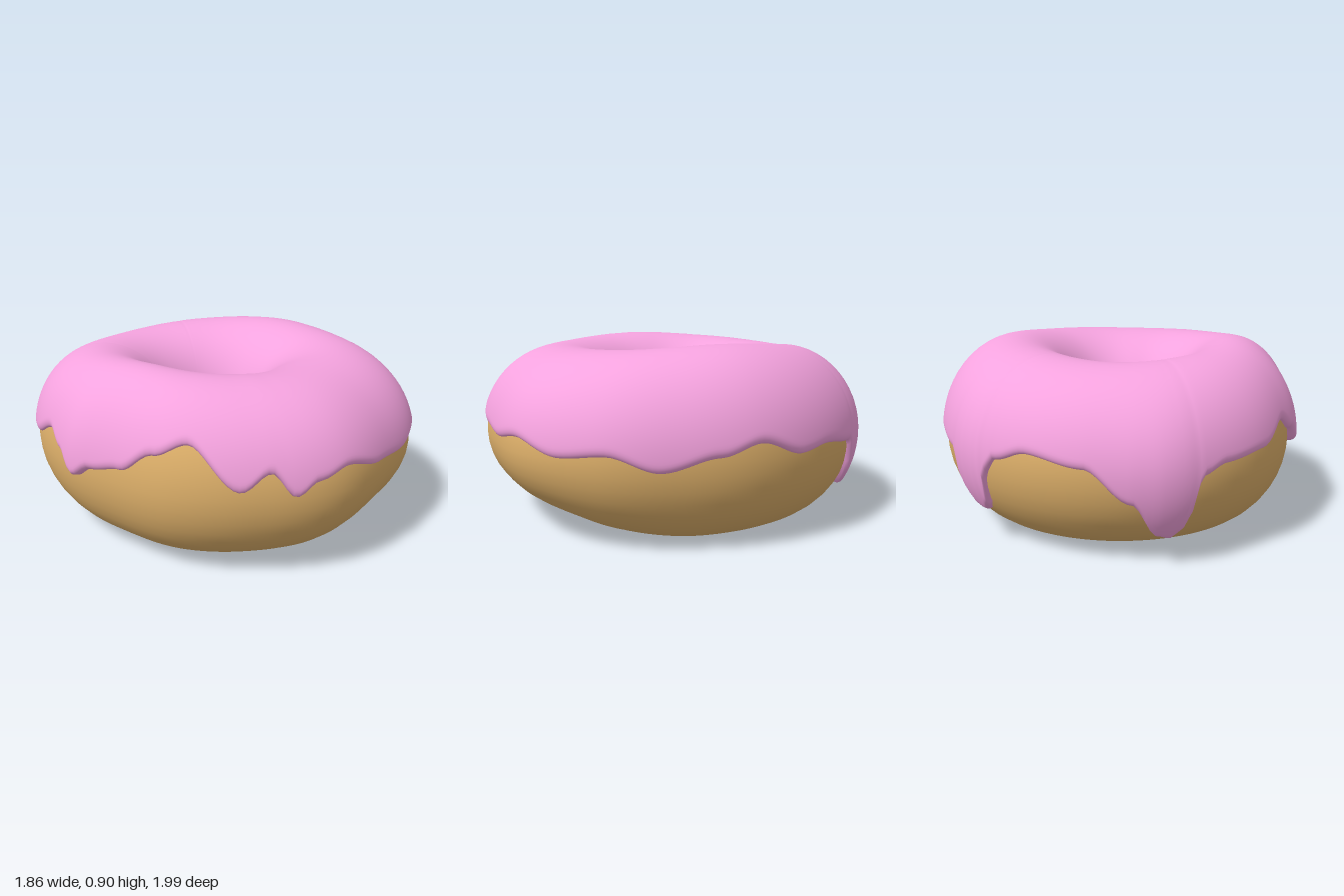
import * as THREE from 'three';

const TAU = Math.PI * 2, DEG = Math.PI / 180;
const MID = 0.43;          // height of the widest ring
const ICING = 0.022;       // icing thickness
const COLS = 240;

// Evenly spaced values round the ring, smoothly interpolated
function ringCurve(values) {
  const n = values.length;
  return (a) => {
    const f = (a / TAU) * n, i = Math.floor(f), t = f - i;
    const [p, q, r, s] = [-1, 0, 1, 2].map((k) => values[(i + k + n) % n]);
    return q + 0.5 * t * (r - p + t * (2 * p - 5 * q + 4 * r - s + t * (3 * (q - r) + s - p)));
  };
}

// Unevenly spaced [degrees, value] pairs, eased from one to the next
function edgeCurve(points) {
  return (a) => {
    const d = a / DEG;
    let i = points.length - 1;
    while (i > 0 && points[i][0] > d) i--;
    const [d0, v0] = points[i];
    const [d1, v1] = i + 1 < points.length ? points[i + 1] : [360, points[0][1]];
    const t = (d - d0) / (d1 - d0);
    return v0 + (v1 - v0) * t * t * (3 - 2 * t);
  };
}

// Angles run from +x towards +z
const outer = ringCurve([0.918, 0.927, 0.977, 1.005, 0.982, 1.005, 0.962, 0.935,
  0.893, 0.92, 0.962, 0.985, 0.972, 0.955, 0.935, 0.92]);
const hole = ringCurve([0.23, 0.215, 0.19, 0.215, 0.24, 0.215, 0.19, 0.21]);
const topY = ringCurve([0.88, 0.855, 0.843, 0.85, 0.872, 0.848, 0.825, 0.855]);
const bottomY = ringCurve([0, 0, 0.03, 0.08, 0.075, 0.04, 0.03, 0.03,
  0.03, 0.03, 0.025, 0.02, 0.01, 0.005, 0, 0]);

// Lower edge of the icing on the outside, with its long drips
const outerEdge = edgeCurve([
  [0, 0.5], [12, 0.45], [28, 0.39], [42, 0.46], [55, 0.44], [70, 0.5], [82, 0.47], [97, 0.49],
  [110, 0.54], [119, 0.5], [125, 0.44], [131, 0.55], [139, 0.47], [153, 0.66], [163, 0.6],
  [174, 0.5], [185, 0.46], [192, 0.4], [198, 0.49], [207, 0.56], [220, 0.48], [235, 0.46],
  [242, 0.42], [246, 0.18], [249, 0.13], [253, 0.15], [260, 0.31], [272, 0.46], [288, 0.5], [298, 0.45],
  [302, 0.38], [305, 0.2], [308, 0.16], [312, 0.17], [315, 0.24], [319, 0.42], [335, 0.45], [346, 0.43],
]);
// Ragged edge inside the hole
const innerEdge = edgeCurve([
  [0, 0.58], [40, 0.46], [80, 0.4], [115, 0.38], [135, 0.5], [180, 0.63], [205, 0.58],
  [225, 0.62], [238, 0.55], [250, 0.61], [262, 0.52], [272, 0.6], [285, 0.5], [310, 0.48], [335, 0.5],
]);

// Point on the dough at ring angle a and section angle phi, pushed out by t
function ringPoint(a, phi, t) {
  const c = Math.cos(a), s = Math.sin(a), cp = Math.cos(phi), sp = Math.sin(phi);
  const u = (1 + cp) / 2, R = outer(a), r = hole(a);
  const half = sp > 0 ? topY(a) - MID : MID - bottomY(a);
  const x = (r * c - 0.05) * (1 - u) + R * c * u;
  const z = (r * s - 0.02) * (1 - u) + R * s * u;
  return [x + c * cp * t, MID + half * sp + sp * t, z + s * cp * t];
}

// Section angle at which the dough's outside passes height y
function phiAt(a, y) {
  const half = y > MID ? topY(a) - MID : MID - bottomY(a);
  return Math.asin(THREE.MathUtils.clamp((y - MID) / half, -1, 1));
}

// Grid surface wrapped round the ring, optionally closed in section too
function ringSurface(rows, closed, pointAt) {
  const pos = [], index = [], n = closed ? rows : rows + 1;
  for (let i = 0; i < COLS; i++) {
    for (let j = 0; j < n; j++) pos.push(...pointAt((i / COLS) * TAU, j / rows));
  }
  for (let i = 0; i < COLS; i++) {
    for (let j = 0; j < rows; j++) {
      const k = (j + 1) % n, i2 = (i + 1) % COLS;
      const a = i * n + j, b = i * n + k, c = i2 * n + j, d = i2 * n + k;
      index.push(a, b, c, b, d, c);
    }
  }
  const g = new THREE.BufferGeometry();
  g.setAttribute('position', new THREE.Float32BufferAttribute(pos, 3));
  g.setIndex(index);
  g.computeVertexNormals();
  return g;
}

const bump = (a, deg, width) => Math.exp(-(((a / DEG - deg) / width) ** 2));

export function createModel() {
  const group = new THREE.Group();
  group.name = 'doughnut';
  const add = (name, geometry, color) => {
    const mesh = new THREE.Mesh(geometry, new THREE.MeshStandardMaterial({ color }));
    mesh.name = name;
    group.add(mesh);
  };

  // Dough ring
  add('dough', ringSurface(40, true, (a, v) => ringPoint(a, v * TAU, 0)), 0xdeb06a);

  // Icing: a thin coat with rounded rims, thicker at the drips
  add('icing', ringSurface(44, false, (a, v) => {
    const p0 = phiAt(a, outerEdge(a)), p1 = Math.PI - phiAt(a, innerEdge(a));
    const w = v - 0.85 * Math.sin(TAU * v) / TAU;   // rows crowd towards both rims
    const phi = p0 + (p1 - p0) * w;
    const d = THREE.MathUtils.clamp(Math.min(phi - p0, p1 - phi) / 0.09, 0, 1);
    const extra = (0.022 * bump(a, 192, 9) + 0.02 * bump(a, 252, 10) + 0.01 * bump(a, 309, 9))
      * (1 - THREE.MathUtils.smoothstep(phi, 0, 1.2));
    const t = (ICING + extra) * Math.sqrt(d * (2 - d)) - 0.003 * (1 - d);
    return ringPoint(a, phi, t);
  }), 0xf5a3df);

  return group;
}
